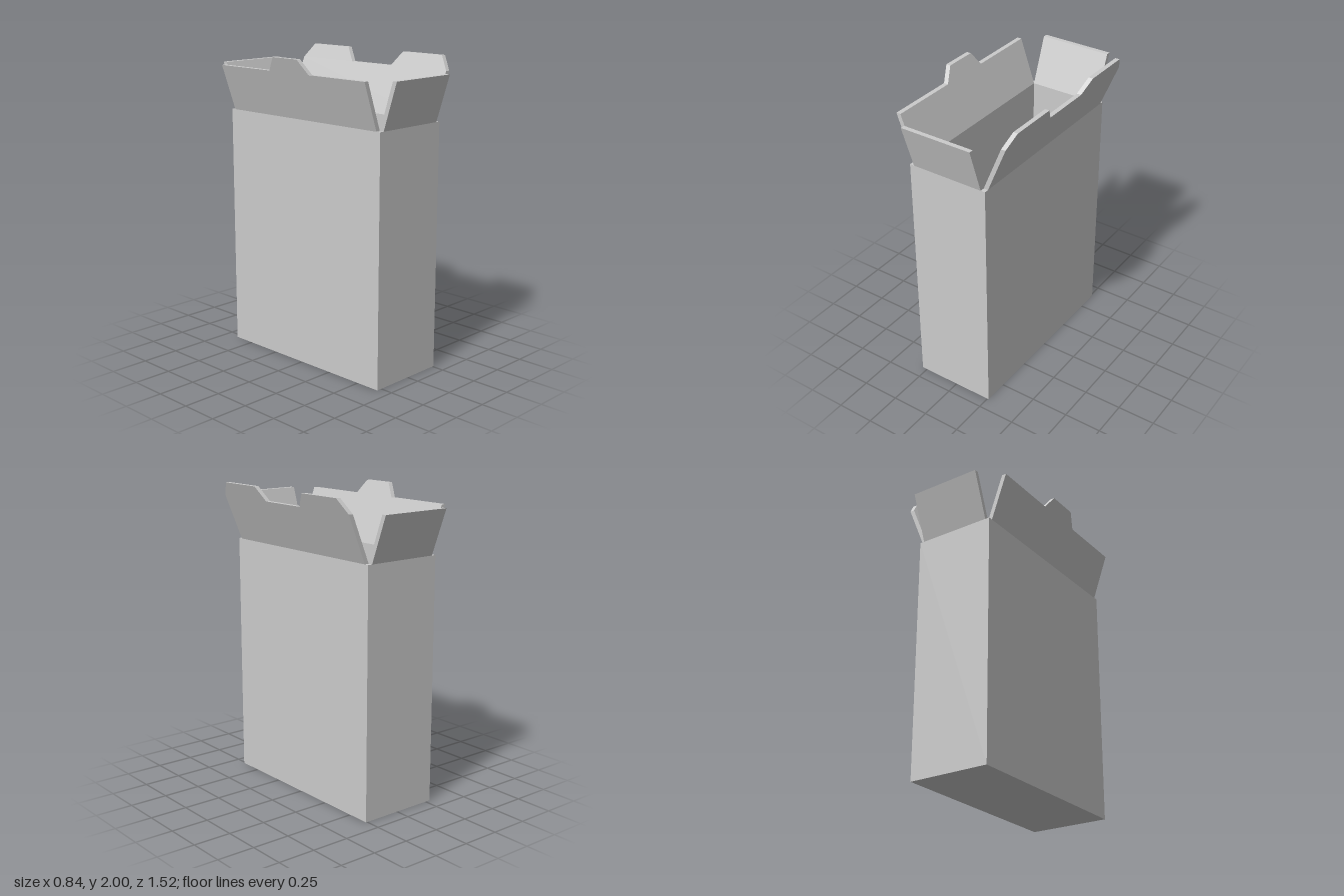
import * as THREE from 'three';

const T = 0.03;                       // board thickness
const X0 = -0.285, X1 = 0.26;         // outer body limits
const Z0 = -0.65, Z1 = 0.665;
const FOLD = 1.61, EDGE = 1.91, TOP = 2;

export function createModel() {
  const group = new THREE.Group();
  const material = new THREE.MeshStandardMaterial({ color: 0xcccccc, flatShading: true });

  const add = (name, geometry) => {
    const mesh = new THREE.Mesh(geometry, material);
    mesh.name = name;
    group.add(mesh);
  };
  const shapeOf = (points) => new THREE.Shape(points.map(([u, v]) => new THREE.Vector2(u, v)));
  const extrude = (shape, depth) => new THREE.ExtrudeGeometry(shape, { depth, bevelEnabled: false });
  const rect = (a, b, c, d) => [[a, c], [b, c], [b, d], [a, d]];

  // Four walls as one open tube
  const ring = shapeOf(rect(X0, X1, -Z1, -Z0));
  ring.holes.push(shapeOf(rect(X0 + T, X1 - T, -Z1 + T, -Z0 - T)));
  add('walls', extrude(ring, FOLD).rotateX(-Math.PI / 2));

  // Floor fitted between the walls
  const floor = new THREE.BoxGeometry(X1 - X0 - 2 * T, T, Z1 - Z0 - 2 * T);
  add('floor', floor.translate((X0 + X1) / 2, T / 2, (Z0 + Z1) / 2));

  // Flaps lean outward: each outline is extruded, placed on a wall and sheared above the fold
  const addFlap = (name, points, axis, start, slope) => {
    const geometry = extrude(shapeOf(points), T);
    if (axis === 'x') geometry.rotateY(Math.PI / 2).translate(start, 0, 0);
    else geometry.translate(0, 0, start);
    const p = geometry.attributes.position;
    for (let i = 0; i < p.count; i++) {
      const lean = slope * (p.getY(i) - FOLD);
      if (axis === 'x') p.setX(i, p.getX(i) + lean);
      else p.setZ(i, p.getZ(i) + lean);
    }
    geometry.computeVertexNormals();
    add(name, geometry);
  };

  // Side flap outlines run along u = -z
  const u0 = -Z1 + T, u1 = -Z0 - T;
  addFlap('leftFlap', [
    [u0, FOLD], [u1, FOLD], [u1, EDGE], [0.55, TOP], [0.23, TOP], [0.16, EDGE],
    [-0.18, EDGE], [-0.25, TOP], [-0.57, TOP], [u0, EDGE],
  ], 'x', X1 - T, 0.41);
  addFlap('rightFlap', [
    [u0, FOLD], [u1, FOLD], [u1, EDGE], [0.165, EDGE], [0.1, TOP], [-0.11, TOP],
    [-0.18, EDGE], [u0, EDGE],
  ], 'x', X0, -0.35);

  // Plain end flaps
  const end = rect(X0 + T, X1 - T, FOLD, EDGE);
  addFlap('frontFlap', end, 'z', Z1 - T, 0.32);
  addFlap('backFlap', end, 'z', Z0, -0.38);

  return group;
}
